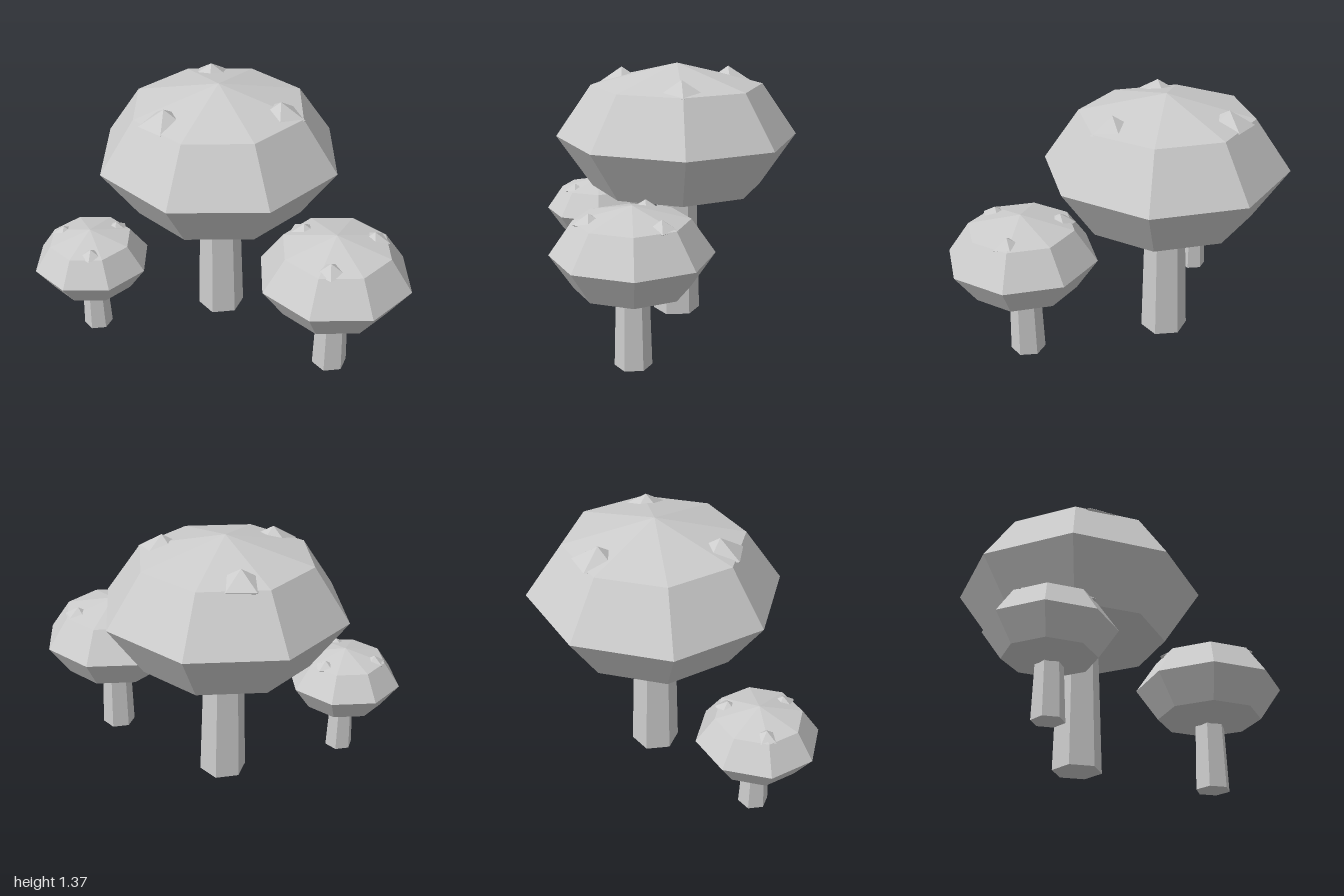
import * as THREE from 'three';

const grey = new THREE.MeshStandardMaterial({ color: 0xcccccc, flatShading: true });
grey.name = 'pale grey';

function part(name, geometry, x, y, z) {
  const mesh = new THREE.Mesh(geometry, grey);
  mesh.name = name;
  mesh.position.set(x, y, z);
  return mesh;
}

// Cap radius r at height y; the stem tapers from rBottom to rTop; spots start at the given angle
function mushroom({ name, x, z, y, r, rTop, rBottom, spotAngle }) {
  const group = new THREE.Group();
  group.name = name;
  group.position.set(x, 0, z);

  // Six-sided stem ending inside the cap
  group.add(part('stem', new THREE.CylinderGeometry(rTop, rBottom, y, 6), 0, y / 2, 0));

  // Flattened eight-sided cap
  group.add(part('cap', new THREE.SphereGeometry(r, 8, 4).scale(1, 0.6, 1), 0, y, 0));

  // Three pointed spots sunk into the top of the cap
  for (let i = 0; i < 3; i++) {
    const a = THREE.MathUtils.degToRad(spotAngle + i * 120);
    const spot = new THREE.SphereGeometry(r * 0.2, 5, 2).scale(1, 0.6, 1).rotateY(Math.PI);
    group.add(part('spot', spot, Math.cos(a) * r * 0.52, y + r * 0.416, Math.sin(a) * r * 0.52));
  }
  return group;
}

export function createModel() {
  const model = new THREE.Group();
  model.name = 'mushroomCluster';
  model.add(
    mushroom({ name: 'largeMushroom', x: -0.13, z: -0.048, y: 0.985, r: 0.643, rTop: 0.099, rBottom: 0.127, spotAngle: 0 }),
    mushroom({ name: 'mediumMushroom', x: 0.602, z: 0.21, y: 0.568, r: 0.395, rTop: 0.075, rBottom: 0.092, spotAngle: 80 }),
    mushroom({ name: 'smallMushroom', x: -0.692, z: 0.383, y: 0.43, r: 0.308, rTop: 0.059, rBottom: 0.077, spotAngle: 60 })
  );
  return model;
}
